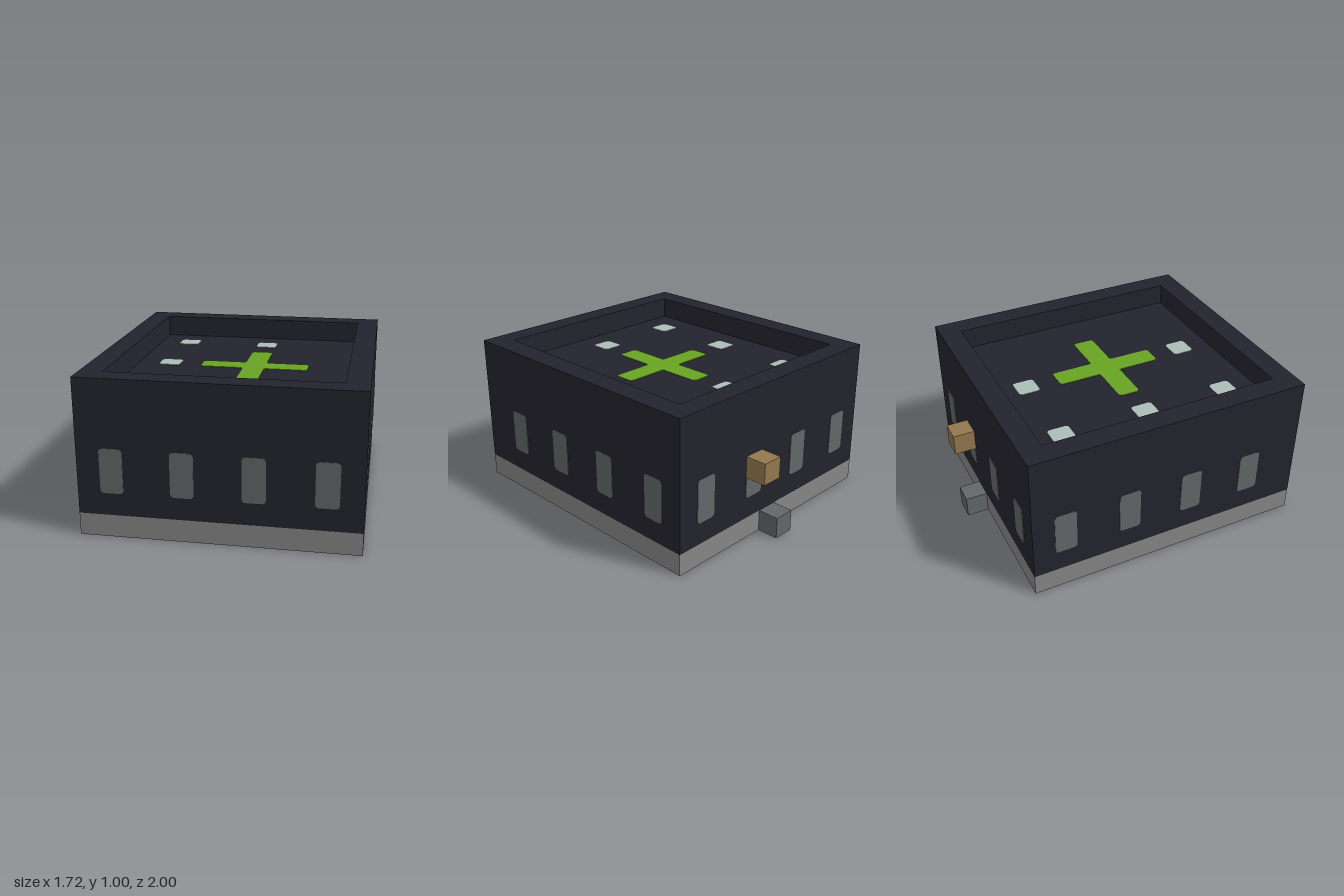
import * as THREE from 'three';

const U = 1 / 7; // one building block
const THIN = 0.004;

const mat = (name, color) => {
  const m = new THREE.MeshStandardMaterial({ color });
  m.name = name;
  return m;
};

// Flat plate in the xy plane from an outline in blocks, with clipped corners
function plate(outline) {
  const shape = new THREE.Shape();
  const pts = outline.map(([x, y]) => new THREE.Vector2(x * U, y * U));
  const n = pts.length;
  const cut = 0.02;
  const all = [];
  pts.forEach((p, i) => {
    const a = pts[(i + n - 1) % n], b = pts[(i + 1) % n];
    const inner = b.clone().sub(p).cross(p.clone().sub(a)) > 0; // concave corner
    const c = inner ? cut / 2 : cut;
    all.push(p.clone().add(a.clone().sub(p).setLength(c)));
    if (!inner) {
      const mid = a.clone().sub(p).setLength(c * 0.3).add(b.clone().sub(p).setLength(c * 0.3));
      all.push(p.clone().add(mid));
    }
    all.push(p.clone().add(b.clone().sub(p).setLength(c)));
  });
  shape.setFromPoints(all);
  return new THREE.ExtrudeGeometry(shape, { depth: THIN, bevelEnabled: false });
}

const rect = (w, h) => [[-w / 2, -h / 2], [w / 2, -h / 2], [w / 2, h / 2], [-w / 2, h / 2]];

export function createModel() {
  const model = new THREE.Group();
  model.name = 'building';

  const wall = mat('dark wall', 0x23232d);
  const stone = mat('light stone', 0x868686);
  const glass = mat('slate grey', 0x636769);
  const wood = mat('wood', 0x94784f);
  const green = mat('green', 0x68a322);
  const lamp = mat('pale lamp', 0xabbcb6);

  const add = (name, geo, material, x, y, z, parent = model) => {
    const mesh = new THREE.Mesh(geo, material);
    mesh.name = name;
    mesh.position.set(x * U, y * U, z * U);
    parent.add(mesh);
    return mesh;
  };
  // Box given by its size and lowest corner, in blocks
  const block = (name, material, [w, h, d], [x, y, z]) =>
    add(name, new THREE.BoxGeometry(w * U, h * U, d * U), material, x + w / 2, y + h / 2, z + d / 2);

  // Foundation and walls
  block('foundation', stone, [12, 1, 13], [-6, 0, -6]);
  block('walls', wall, [12, 5, 13], [-6, 1, -6]);

  // Parapet around the sunken roof
  const ring = new THREE.Shape(rect(12, 13).map(([x, y]) => new THREE.Vector2(x * U, y * U)));
  ring.holes.push(new THREE.Path(rect(10, 11).reverse().map(([x, y]) => new THREE.Vector2(x * U, y * U))));
  const parapet = new THREE.ExtrudeGeometry(ring, { depth: U, bevelEnabled: false });
  parapet.rotateX(-Math.PI / 2);
  add('parapet', parapet, wall, 0, 6, 0.5);

  // Four windows on each side
  const windowGeo = plate(rect(1, 2));
  const windows = new THREE.Group();
  windows.name = 'windows';
  model.add(windows);
  for (const s of [-4.5, -1.5, 1.5, 4.5]) {
    add('frontWindow', windowGeo, glass, s, 3, 7, windows);
    add('backWindow', windowGeo, glass, s, 3, -6, windows).rotation.y = Math.PI;
    add('leftWindow', windowGeo, glass, 6, 3, s, windows).rotation.y = Math.PI / 2;
    add('rightWindow', windowGeo, glass, -6, 3, s, windows).rotation.y = -Math.PI / 2;
  }

  // Roof cross
  const a = 0.5, b = 2.5;
  const cross = plate([
    [-a, -b], [a, -b], [a, -a], [b, -a], [b, a], [a, a],
    [a, b], [-a, b], [-a, a], [-b, a], [-b, -a], [-a, -a],
  ]);
  add('roofCross', cross, green, 0.5, 6, 0.5).rotation.x = -Math.PI / 2;

  // Roof lamps
  const lampGeo = plate(rect(1, 1));
  for (const [x, z] of [[-3.5, -3.5], [-3.5, 0.5], [-3.5, 4.5], [0.5, -3.5], [0.5, 4.5]])
    add('roofLamp', lampGeo, lamp, x, 6, z).rotation.x = -Math.PI / 2;

  // Blocks on the back wall
  block('woodBlock', wood, [1, 1, 1], [1, 3, -7]);
  block('stepBlock', glass, [1, 1, 1], [0, 0, -7]);

  return model;
}
